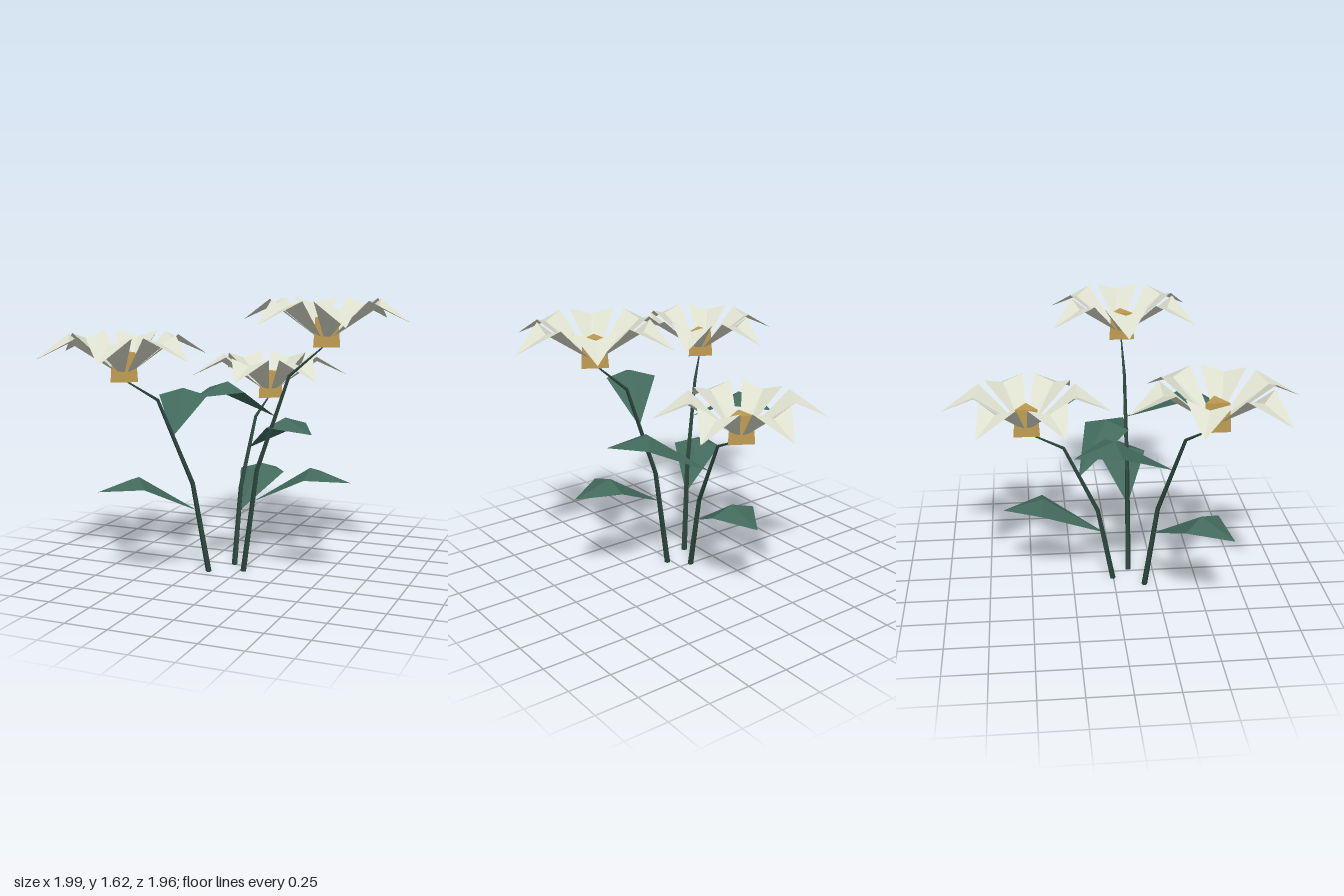
import * as THREE from 'three';

const material = (name, color, side = THREE.FrontSide) => {
  const m = new THREE.MeshStandardMaterial({ color, side });
  m.name = name;
  return m;
};

// Separate the faces so every facet is shaded flat
const facet = (geometry) => {
  const g = geometry.index ? geometry.toNonIndexed() : geometry;
  g.computeVertexNormals();
  return g;
};

// Folded kite blade running along +x: narrow base, two corners, a crease point and a tip
function bladeGeometry({ base, corner, mid, tip }) {
  const [bx, by, bz] = base, [cx, cy, cz] = corner;
  const points = [
    [bx, by, bz], [bx, by, -bz],
    [cx, cy, cz], [cx, cy, -cz],
    [mid[0], mid[1], 0], [tip[0], tip[1], 0],
  ];
  const faces = [0, 2, 4, 0, 4, 1, 1, 4, 3, 2, 5, 4, 4, 5, 3];
  const g = new THREE.BufferGeometry();
  g.setAttribute('position', new THREE.Float32BufferAttribute(points.flat(), 3));
  g.setIndex(faces);
  return facet(g);
}

// Five-sided tapering stem: each row of a cylinder is moved onto one path point
function stemGeometry(path, radii) {
  const rows = path.length - 1;
  const g = new THREE.CylinderGeometry(1, 1, 1, 5, rows);
  const pos = g.attributes.position;
  const up = new THREE.Vector3(0, 1, 0);
  const turns = path.map((p, i) => {
    const dir = path[Math.min(i + 1, rows)].clone().sub(path[Math.max(i - 1, 0)]).normalize();
    return new THREE.Quaternion().setFromUnitVectors(up, i === 0 ? up : dir);
  });
  const v = new THREE.Vector3();
  for (let i = 0; i < pos.count; i++) {
    const row = Math.round((pos.getY(i) + 0.5) * rows);
    v.set(pos.getX(i) * radii[row], 0, pos.getZ(i) * radii[row]);
    v.applyQuaternion(turns[row]).add(path[row]);
    pos.setXYZ(i, v.x, v.y, v.z);
  }
  return facet(g);
}

// Stem path, bloom turn (degrees from +x towards +z) and leaves as [base, direction to tip]
const PLANTS = [
  {
    path: [[0.025, 0, 0.1], [0.11, 0.62, 0.1], [0.305, 1.18, 0.1], [0.513, 1.36, 0.1]],
    turn: 0,
    leaves: [[[0.085, 0.43, 0.1], [1, 0]], [[0.22, 0.945, 0.105], [-0.27, 0.535]]],
  },
  {
    path: [[-0.165, 0, 0.18], [-0.235, 0.54, 0.243], [-0.39, 1.04, 0.37], [-0.53, 1.165, 0.505]],
    turn: 17.3,
    leaves: [[[-0.213, 0.375, 0.223], [-0.42, 0.38]], [[-0.325, 0.83, 0.315], [-0.162, -0.585]]],
  },
  {
    path: [[-0.075, 0, -0.005], [-0.07, 0.465, -0.095], [-0.05, 0.87, -0.29], [-0.04, 0.97, -0.5]],
    turn: 34.5,
    leaves: [[[-0.072, 0.32, -0.065], [0.02, -0.58]], [[-0.058, 0.69, -0.2], [0.49, 0.3]]],
  },
];

export function createModel() {
  const model = new THREE.Group();
  model.name = 'flowers';

  const cream = material('petal cream', 0xdcdecd, THREE.DoubleSide);
  const gold = material('centre gold', 0xbd9a50);
  const green = material('leaf green', 0x42695c, THREE.DoubleSide);
  const dark = material('stem green', 0x2c463e);

  const petalGeometry = bladeGeometry({
    base: [0.05, 0.06, 0.02], corner: [0.28, 0.265, 0.126], mid: [0.3, 0.225], tip: [0.486, 0.14],
  });
  const leafGeometry = bladeGeometry({
    base: [0, 0, 0.004], corner: [0.36, 0.185, 0.148], mid: [0.35, 0.23], tip: [0.59, 0.16],
  });
  const centreGeometry = facet(
    new THREE.CylinderGeometry(0.075, 0.088, 0.165, 3, 1, false, Math.PI / 2).translate(0, 0.0825, 0)
  );

  const add = (parent, name, geometry, mat) => {
    const mesh = new THREE.Mesh(geometry, mat);
    mesh.name = name;
    parent.add(mesh);
    return mesh;
  };

  for (const { path, turn, leaves } of PLANTS) {
    const plant = new THREE.Group();
    plant.name = 'flower';
    model.add(plant);

    const points = path.map((p) => new THREE.Vector3(...p));
    add(plant, 'stem', stemGeometry(points, [0.018, 0.014, 0.01, 0.004]), dark);

    // Bloom: triangular centre ringed by six petals
    const bloom = new THREE.Group();
    bloom.name = 'bloom';
    bloom.position.copy(points[3]);
    bloom.position.y -= 0.008;
    plant.add(bloom);
    add(bloom, 'centre', centreGeometry, gold);
    for (let i = 0; i < 6; i++) {
      const petal = add(bloom, 'petal', petalGeometry, cream);
      petal.rotation.y = -THREE.MathUtils.degToRad(turn + i * 60);
    }

    // Two leaves springing from the stem
    for (const [base, [dx, dz]] of leaves) {
      const leaf = add(plant, 'leaf', leafGeometry, green);
      leaf.position.set(...base);
      leaf.rotation.y = -Math.atan2(dz, dx);
    }
  }
  return model;
}
